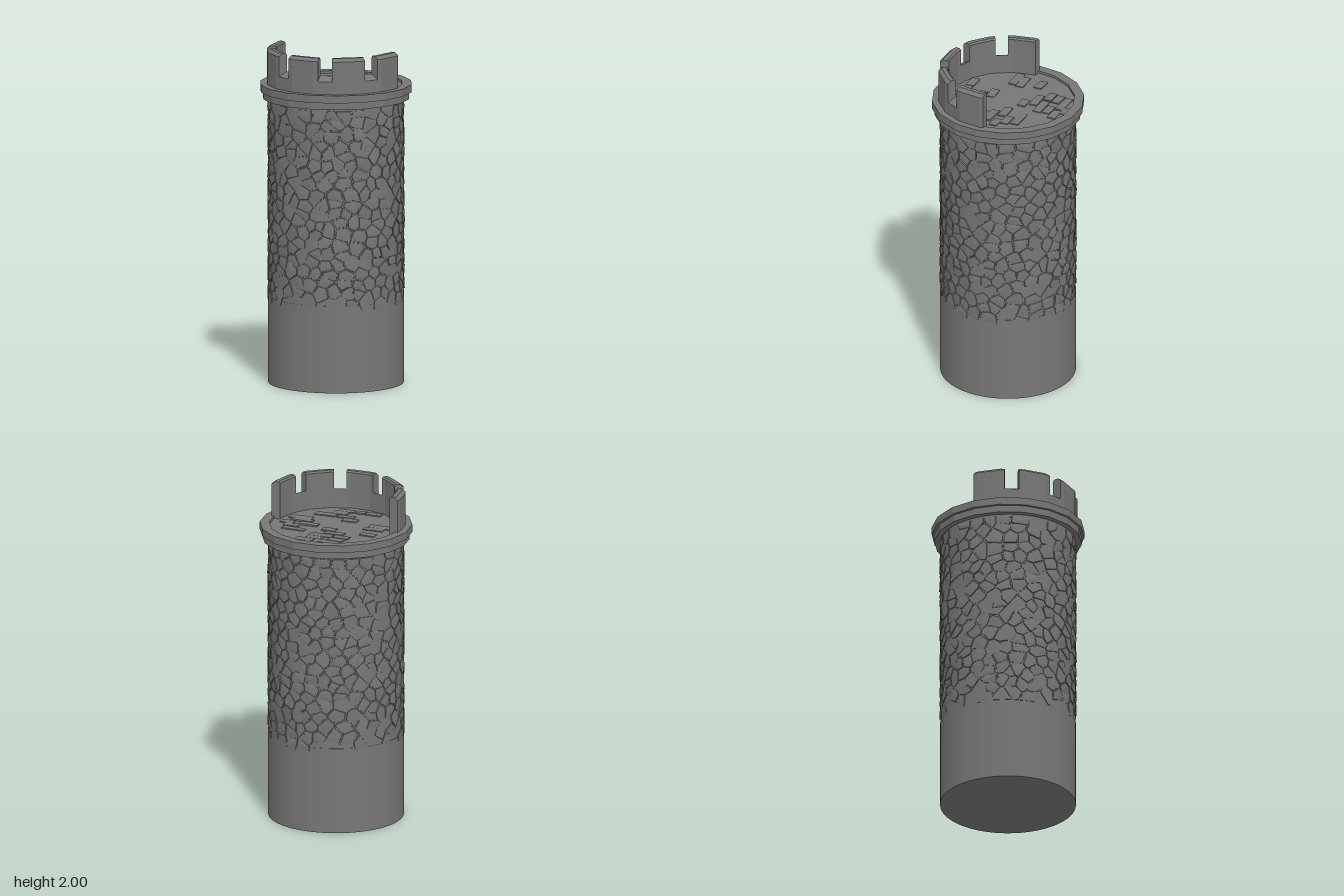
import * as THREE from 'three';

const SIDES = 18, STEP = Math.PI * 2 / SIDES, DEG = Math.PI / 180;

// Small seeded random generator
function seeded(seed) {
  return () => {
    seed = (seed * 1664525 + 1013904223) >>> 0;
    return seed / 4294967296;
  };
}

function fromTriangles(pos) {
  const g = new THREE.BufferGeometry();
  g.setAttribute('position', new THREE.Float32BufferAttribute(pos, 3));
  g.computeVertexNormals();
  return g;
}

function flat(g) {
  const f = g.toNonIndexed();
  f.computeVertexNormals();
  return f;
}

// Point on an 18-sided ring with corner radius r, angle measured from +z to +x
function ringPoint(r, a, y) {
  const mid = Math.round(a / STEP) * STEP;
  const d = r * Math.cos(STEP / 2) / Math.cos(a - mid);
  return [Math.sin(a) * d, y, Math.cos(a) * d];
}

// Sweeps a convex [radius, height] section around the ring between two angles
function sweepSection(section, a0, a1) {
  const angles = [a0];
  for (let k = -SIDES; k < SIDES; k++) {
    const a = (k + 0.5) * STEP;
    if (a > a0 + 0.01 && a < a1 - 0.01) angles.push(a);
  }
  angles.push(a1);
  const rows = angles.map(a => section.map(([r, y]) => ringPoint(r, a, y)));
  const pos = [], n = section.length, last = rows[rows.length - 1];
  for (let i = 0; i + 1 < rows.length; i++) {
    for (let j = 0; j < n; j++) {
      const k = (j + 1) % n;
      const a = rows[i][j], b = rows[i + 1][j], c = rows[i + 1][k], d = rows[i][k];
      pos.push(...a, ...b, ...c, ...a, ...c, ...d);
    }
  }
  for (let j = 1; j + 1 < n; j++) {
    pos.push(...rows[0][0], ...rows[0][j], ...rows[0][j + 1]);
    pos.push(...last[0], ...last[j + 1], ...last[j]);
  }
  return fromTriangles(pos);
}

// Keeps the part of a polygon on the near side of the line halfway to a neighbour
function clipCell(poly, p, q) {
  const nx = q[0] - p[0], ny = q[1] - p[1];
  const c = nx * (p[0] + q[0]) / 2 + ny * (p[1] + q[1]) / 2;
  const out = [];
  poly.forEach((a, i) => {
    const b = poly[(i + 1) % poly.length];
    const da = nx * a[0] + ny * a[1] - c, db = nx * b[0] + ny * b[1] - c;
    if (da <= 0) out.push(a);
    if (da * db < 0) {
      const t = da / (da - db);
      out.push([a[0] + (b[0] - a[0]) * t, a[1] + (b[1] - a[1]) * t]);
    }
  });
  return out;
}

// Irregular rubble stones wrapped around the shaft, each slightly tilted
function rubbleGeometry() {
  const rand = seeded(41), R = 0.4, COLS = 28, ROWS = 20, Y0 = 0.5, Y1 = 1.69;
  const w = Math.PI * 2 * R / COLS, h = (Y1 - Y0) / ROWS;
  const jitter = Array.from({ length: COLS * ROWS }, () => [rand(), rand()]);
  const site = (c, r) => {
    const j = jitter[r * COLS + (c + COLS) % COLS];
    return [(c + (r % 2) * 0.5 + 0.1 + j[0] * 0.8) * w, Y0 + (r + 0.1 + j[1] * 0.8) * h];
  };
  const wrap = (p, r) => [Math.sin(p[0] / R) * r, p[1], Math.cos(p[0] / R) * r];
  const pos = [];
  for (let r = 0; r < ROWS; r++) {
    for (let c = 0; c < COLS; c++) {
      const p = site(c, r);
      let cell = [[p[0] - w * 1.2, Math.max(Y0 - 0.01, p[1] - 0.1)], [p[0] + w * 1.2, Math.max(Y0 - 0.01, p[1] - 0.1)],
        [p[0] + w * 1.2, Math.min(Y1, p[1] + 0.1)], [p[0] - w * 1.2, Math.min(Y1, p[1] + 0.1)]];
      for (let dr = -3; dr <= 3; dr++) {
        for (let dc = -3; dc <= 3; dc++) {
          if ((dr || dc) && r + dr >= 0 && r + dr < ROWS) cell = clipCell(cell, p, site(c + dc, r + dr));
        }
      }
      const lift = 0.4 + rand() * 0.003, tu = (rand() - 0.5) * 0.1, tv = (rand() - 0.5) * 0.16;
      const skip = rand() < (r === 0 ? 0.35 : 0.07);
      if (skip || cell.length < 3) continue;
      const m = [0, 1].map(k => cell.reduce((s, q) => s + q[k], 0) / cell.length);
      const inset = (q, f) => [m[0] + (q[0] - m[0]) * f, m[1] + (q[1] - m[1]) * f];
      const foot = cell.map(q => wrap(inset(q, 0.97), 0.392));
      const face = cell.map(q => {
        const s = inset(q, 0.87);
        return wrap(s, lift + (s[0] - m[0]) * tu + (s[1] - m[1]) * tv);
      });
      const mid = wrap(m, lift + 0.001);
      cell.forEach((q, i) => {
        const k = (i + 1) % cell.length;
        pos.push(...foot[i], ...foot[k], ...face[k], ...foot[i], ...face[k], ...face[i]);
        pos.push(...face[i], ...face[k], ...mid);
      });
    }
  }
  return fromTriangles(pos);
}

export function createModel() {
  const tower = new THREE.Group();
  tower.name = 'tower';
  const stone = new THREE.MeshStandardMaterial({ color: 0x777777 });
  const add = (name, geometry, parent = tower) => {
    const m = new THREE.Mesh(geometry, stone);
    m.name = name;
    parent.add(m);
    return m;
  };
  const v = ([x, y]) => new THREE.Vector2(x, y);

  // Smooth plinth and shaft core
  const base = add('plinth', new THREE.CylinderGeometry(0.4, 0.4, 0.52, 72));
  base.position.y = 0.26;
  const core = add('shaftCore', new THREE.CylinderGeometry(0.3975, 0.3975, 1.2, 72, 1, true));
  core.position.y = 1.11;
  add('rubbleStones', rubbleGeometry());

  // Stepped cornice with the sunken deck
  const cornice = [[0.38, 1.7], [0.435, 1.7], [0.435, 1.742], [0.45, 1.742], [0.45, 1.787],
    [0.393, 1.787], [0.393, 1.772], [0, 1.772]].map(v);
  add('corniceAndDeck', flat(new THREE.LatheGeometry(cornice, SIDES, STEP / 2)));

  // Paving slabs: x, z, width
  const paving = new THREE.Group();
  paving.name = 'pavingSlabs';
  tower.add(paving);
  const rand = seeded(9);
  const slabs = [[0, -0.37, 0.08], [-0.08, -0.325, 0.16], [0.06, -0.325, 0.11], [-0.12, -0.27, 0.1], [0.02, -0.27, 0.1],
    [-0.13, -0.215, 0.1], [0, -0.215, 0.15], [-0.06, -0.16, 0.13], [0.2, -0.16, 0.15], [-0.25, -0.1, 0.1], [0, -0.1, 0.09],
    [0.24, -0.1, 0.1], [0.15, -0.05, 0.12], [0.29, -0.05, 0.09], [-0.24, 0.01, 0.13], [0.22, 0.01, 0.14],
    [-0.26, 0.06, 0.15], [0.25, 0.06, 0.15], [-0.04, 0.115, 0.1], [0.01, 0.17, 0.11], [0.14, 0.17, 0.14], [0.07, 0.225, 0.1],
    [-0.04, 0.28, 0.06], [0.05, 0.28, 0.1], [-0.12, 0.28, 0.1]];
  slabs.forEach(([x, z, w]) => {
    const s = add('pavingSlab', new THREE.BoxGeometry(w - 0.006, 0.012, 0.049), paving);
    s.position.set(x, 1.771 + rand() * 0.003, z);
    s.rotation.set((rand() - 0.5) * 0.12, (rand() - 0.5) * 0.06, (rand() - 0.5) * 0.05);
  });

  // Half-ring battlement: tall merlons with bevelled tops, low sloping sills between
  const merlon = [[0.411, 1.775], [0.411, 1.982], [0.39, 2], [0.364, 2], [0.355, 1.99], [0.355, 1.76]];
  const sill = [[0.411, 1.775], [0.411, 1.862], [0.355, 1.89], [0.355, 1.76]];
  const battlement = new THREE.Group();
  battlement.name = 'battlement';
  tower.add(battlement);
  [[-93, -66], [-54, -26], [-14, 14], [26, 54], [66, 93]].forEach(([a, b]) =>
    add('merlon', sweepSection(merlon, a * DEG, b * DEG), battlement));
  [[-66, -54], [-26, -14], [14, 26], [54, 66]].forEach(([a, b]) =>
    add('sill', sweepSection(sill, a * DEG, b * DEG), battlement));

  return tower;
}
